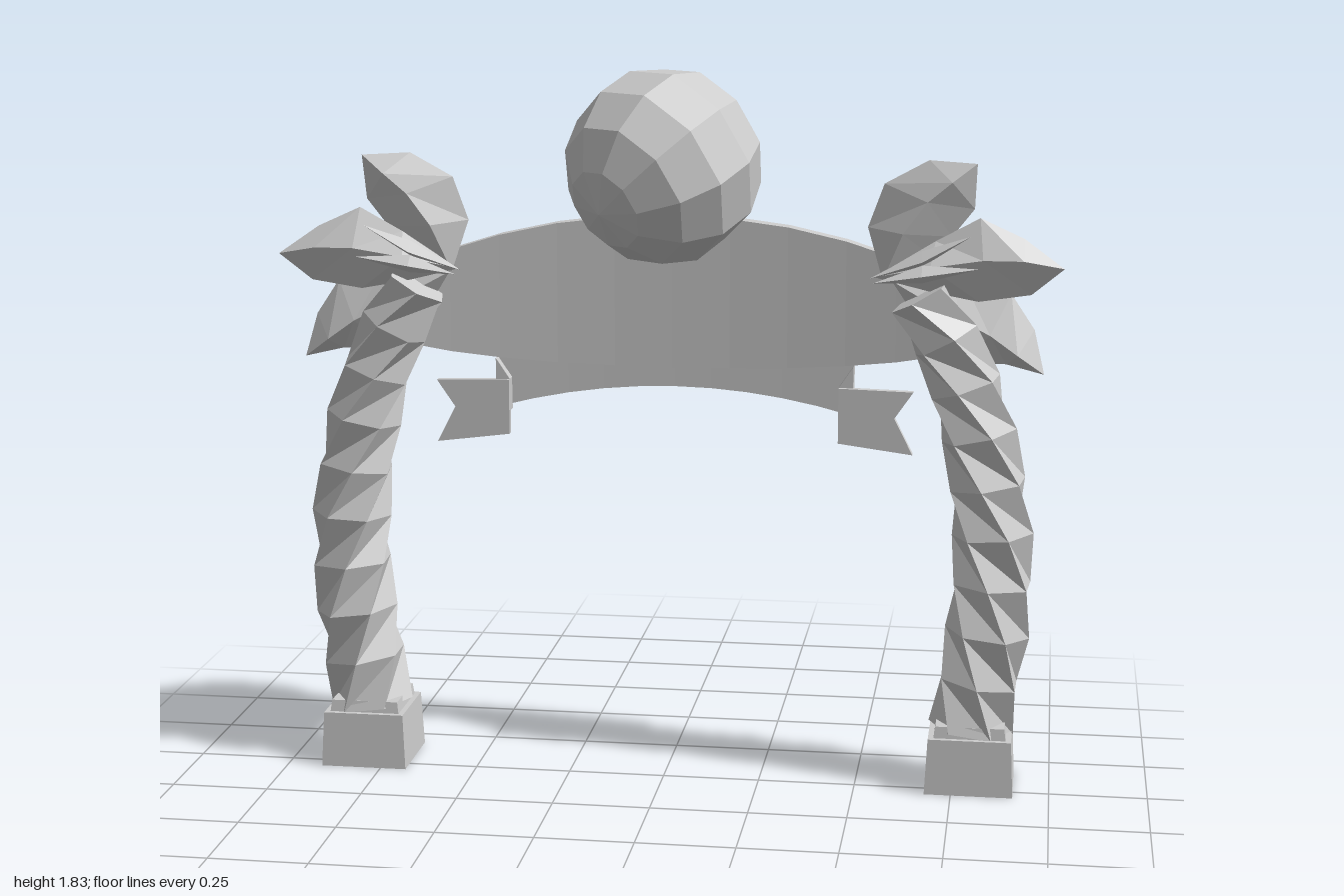
import * as THREE from 'three';

const stone = new THREE.MeshStandardMaterial({ color: 0xcccccc, flatShading: true, side: THREE.DoubleSide });
stone.name = 'pale grey';

function mesh(name, geometry) {
  const m = new THREE.Mesh(geometry, stone);
  m.name = name;
  return m;
}

// Skins a row of cross-sections; closed sections become tubes with optional end caps.
function loft(sections, { closed = true, startCap = true, endCap = true } = {}) {
  const n = sections[0].length;
  const tris = [];
  const steps = closed ? n : n - 1;
  for (let i = 0; i < sections.length - 1; i++) {
    for (let j = 0; j < steps; j++) {
      const k = (j + 1) % n;
      const [a, b, c, d] = [sections[i][j], sections[i][k], sections[i + 1][k], sections[i + 1][j]];
      tris.push([a, b, c], [a, c, d]);
    }
  }
  if (closed) {
    const first = sections[0], last = sections[sections.length - 1];
    for (let j = 1; j < n - 1; j++) {
      if (startCap) tris.push([first[0], first[j + 1], first[j]]);
      if (endCap) tris.push([last[0], last[j], last[j + 1]]);
    }
  }
  // Turn closed skins outward whichever way the sections run
  const mid = new THREE.Vector3();
  sections.flat().forEach((p) => mid.add(new THREE.Vector3(...p)));
  mid.divideScalar(sections.length * n);
  let volume = 0;
  for (const t of tris) {
    const [a, b, c] = t.map((p) => new THREE.Vector3(...p).sub(mid));
    volume += a.dot(b.cross(c));
  }
  if (volume < 0) tris.forEach((t) => t.reverse());
  const g = new THREE.BufferGeometry();
  g.setAttribute('position', new THREE.Float32BufferAttribute(tris.flat(2), 3));
  g.computeVertexNormals();
  return g;
}

// Square block whose half width changes from bottom to top
function block(s, y0, y1, h0, h1, startCap) {
  const ring = (y, h) => [[-1, -1], [1, -1], [1, 1], [-1, 1]].map(([u, v]) => [s * (0.795 + u * h), y, -0.065 + v * h]);
  return loft([ring(y0, h0), ring(y1, h1)], { startCap });
}

// Twisted, leaning column: each six-sided ring is turned against the last
function trunk(s) {
  const path = new THREE.CatmullRomCurve3([
    [0.795, 0.15, -0.065], [0.835, 0.45, -0.063], [0.84, 0.65, -0.062],
    [0.8, 0.92, -0.058], [0.735, 1.12, -0.05], [0.645, 1.28, -0.035],
  ].map((p) => new THREE.Vector3(...p)));
  const rings = [];
  const count = 9;
  for (let i = 0; i <= count; i++) {
    const t = i / count;
    const p = path.getPointAt(t), d = path.getTangentAt(t);
    const r = 0.11 - 0.026 * t * t;
    const ring = [];
    for (let j = 0; j < 6; j++) {
      const a = (j / 6) * Math.PI * 2 + i * 0.55;
      const u = Math.cos(a) * r;
      ring.push([s * (p.x + u * d.y), p.y - u * d.x, p.z + Math.sin(a) * r]);
    }
    rings.push(ring);
  }
  return loft(rings);
}

// Folded leaf: base, rows of [edge, rib, edge], tip; the rib stands forward
function leaf(s, base, rows, tip, z, fold) {
  const at = ([x, y], dz) => [s * x, y, z + dz];
  const sections = [
    [at(base, 0), at(base, 0), at(base, 0)],
    ...rows.map(([a, r, b]) => [at(a, -fold / 2), at(r, fold / 2), at(b, -fold / 2)]),
    [at(tip, 0), at(tip, 0), at(tip, 0)],
  ];
  return loft(sections, { closed: false });
}

const leaves = [
  ['upperLeaf', [0.55, 1.32], [
    [[0.51, 1.45], [0.6, 1.44], [0.67, 1.38]],
    [[0.55, 1.56], [0.66, 1.52], [0.72, 1.43]],
    [[0.66, 1.62], [0.72, 1.57], [0.775, 1.5]],
  ], [0.78, 1.615], -0.022, 0.05],
  ['outerLeaf', [0.53, 1.33], [
    [[0.68, 1.42], [0.67, 1.36], [0.68, 1.29]],
    [[0.79, 1.48], [0.8, 1.38], [0.79, 1.27]],
    [[0.9, 1.43], [0.9, 1.38], [0.92, 1.29]],
  ], [1.0, 1.36], -0.005, 0.05],
  ['lowerLeaf', [0.57, 1.31], [
    [[0.74, 1.33], [0.7, 1.24], [0.64, 1.2]],
    [[0.87, 1.28], [0.82, 1.18], [0.74, 1.1]],
    [[0.93, 1.19], [0.89, 1.13], [0.86, 1.1]],
  ], [0.957, 1.08], -0.08, 0.05],
  ['upperSpike', [0.52, 1.33], [[[0.65, 1.4], [0.65, 1.375], [0.65, 1.36]]], [0.77, 1.44], 0.02, 0.035],
  ['lowerSpike', [0.53, 1.32], [[[0.65, 1.365], [0.65, 1.34], [0.65, 1.32]]], [0.79, 1.36], 0.03, 0.03],
];

// Bent strip made of [x, bottom, top, front z, back z] stations
function strip(stations) {
  return loft(stations.map(([x, lo, hi, f, b]) => [[x, lo, f], [x, hi, f], [x, hi, b], [x, lo, b]]));
}

function swallowTail(s) {
  const shape = new THREE.Shape(
    [[0.433, 1.015], [0.626, 1.01], [0.578, 0.94], [0.626, 0.845], [0.433, 0.87]]
      .map(([x, y]) => new THREE.Vector2(s * x, y)));
  return new THREE.ExtrudeGeometry(shape, { depth: 0.022, bevelEnabled: false }).translate(0, 0, -0.18);
}

export function createModel() {
  const group = new THREE.Group();
  group.name = 'palmArch';

  for (const s of [1, -1]) {
    const side = new THREE.Group();
    side.name = s > 0 ? 'leftPalm' : 'rightPalm';
    side.add(
      mesh('hollowBase', block(s, 0, 0.145, 0.113, 0.106, false)),
      mesh('baseStep', block(s, 0.145, 0.175, 0.092, 0.088, true)),
      mesh('twistedTrunk', trunk(s)));
    for (const [name, ...spec] of leaves) side.add(mesh(name, leaf(s, ...spec)));
    group.add(side);
  }

  // Lens-shaped sign board, bowed backward in the middle
  const half = [[0, 1.06, 1.455], [0.15, 1.062, 1.45], [0.3, 1.067, 1.432], [0.45, 1.078, 1.4],
    [0.58, 1.093, 1.36], [0.7, 1.115, 1.31], [0.79, 1.143, 1.257], [0.84, 1.172, 1.215]];
  const both = [...half.slice(1).reverse().map(([x, ...r]) => [-x, ...r]), ...half];
  group.add(mesh('signBoard', strip(both.map(([x, lo, hi]) => {
    const z = -0.155 + 0.08 * x * x;
    return [x, lo, hi, z, z - 0.05];
  }))));

  // Ribbon behind the board, arched upward, with folded tails
  const ribbon = [];
  for (let i = -5; i <= 5; i++) {
    const x = i * 0.094, t = (i / 5) ** 2;
    ribbon.push([x, 1.0 - 0.065 * t, 1.14 - 0.06 * t, -0.21 + 0.01 * t, -0.23 + 0.01 * t]);
  }
  group.add(mesh('ribbon', strip(ribbon)));
  for (const s of [1, -1]) {
    group.add(mesh('ribbonTail', swallowTail(s)));
    group.add(mesh('ribbonFold', strip([[s * 0.433, 0.93, 1.015, -0.17, -0.205], [s * 0.47, 0.935, 1.07, -0.17, -0.205]])));
  }

  // Faceted ball, its pole pointing back and up
  const ball = mesh('ball', new THREE.SphereGeometry(0.25, 10, 7));
  ball.quaternion.setFromUnitVectors(new THREE.Vector3(0, 1, 0), new THREE.Vector3(0.54, 0.41, -0.74).normalize());
  ball.position.set(0, 1.6, 0);
  group.add(ball);
  return group;
}
